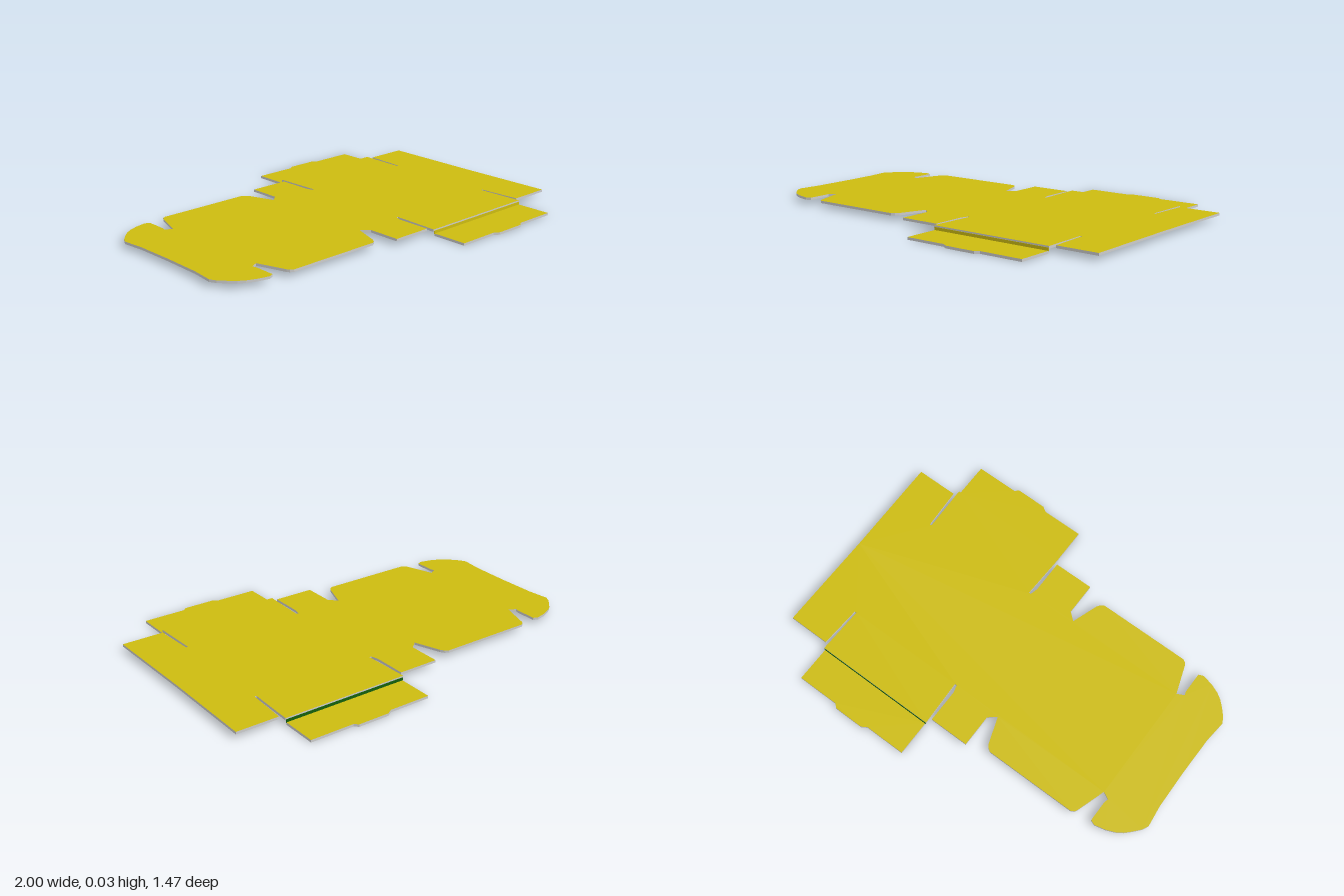
import * as THREE from 'three';

const yellow = new THREE.MeshStandardMaterial({ color: 0xccbb10 });
const green = new THREE.MeshStandardMaterial({ color: 0x145f0a });
const grey = new THREE.MeshStandardMaterial({ color: 0xcccccc });

const T = 0.012; // board thickness
const SHEET_Y = 0.021; // underside of the main sheet

// Flat board cut from an outline of [x, z]: green below, yellow above, grey cut edges
function board(name, outline, y) {
  const shape = new THREE.Shape(outline.map(([x, z]) => new THREE.Vector2(x, -z)));
  const geo = new THREE.ExtrudeGeometry(shape, { depth: T, bevelEnabled: false });
  const [caps, walls] = geo.groups.map((g) => ({ ...g }));
  geo.clearGroups();
  geo.addGroup(0, caps.count / 2, 0);
  geo.addGroup(caps.count / 2, caps.count / 2, 1);
  geo.addGroup(walls.start, walls.count, 2);
  geo.rotateX(-Math.PI / 2);
  const mesh = new THREE.Mesh(geo, [green, yellow, grey]);
  mesh.name = name;
  mesh.position.y = y;
  return mesh;
}

export function createModel() {
  const group = new THREE.Group();
  group.name = 'foldingBoxBlank';

  // Main sheet: half outline from the rounded tuck end to the straight end
  const half = [
    [-0.985, 0], [-0.988, 0.2], [-1, 0.31],
    // rounded tuck ear
    [-0.985, 0.34], [-0.955, 0.375], [-0.925, 0.405], [-0.895, 0.425], [-0.85, 0.444],
    [-0.795, 0.457], [-0.77, 0.447], [-0.77, 0.34], [-0.776, 0.32], [-0.74, 0.302],
    // lid side flap
    [-0.692, 0.445], [-0.684, 0.46], [-0.668, 0.469], [-0.195, 0.469],
    [-0.178, 0.458], [-0.166, 0.44], [-0.12, 0.308],
    // back corner flap
    [-0.08, 0.342], [-0.08, 0.508], [0.125, 0.508], [0.125, 0.34], [0.135, 0.3], [0.146, 0.3],
    // side wall
    [0.137, 0.538], [0.773, 0.538], [0.766, 0.3], [0.776, 0.3],
    // front corner flap
    [0.787, 0.51], [1, 0.51], [0.996, 0],
  ];
  const mirrored = half.slice(1, -1).reverse().map(([x, z]) => [x, -z]);
  group.add(board('mainSheet', [...half, ...mirrored], SHEET_Y));

  for (const s of [1, -1]) {
    const side = s > 0 ? 'front' : 'back';

    // Folded-under side flap with its locking tab
    const flap = [
      [0.143, 0.538], [0.77, 0.538], [0.77, 0.72], [0.553, 0.72], [0.535, 0.737],
      [0.38, 0.737], [0.352, 0.72], [0.143, 0.72],
    ].map(([x, z]) => [x, z * s]);
    group.add(board(side + 'SideFlap', flap, 0));

    // Crease joining the side wall to its lower flap
    const crease = new THREE.Mesh(new THREE.BoxGeometry(0.63, 0.016, 0.004), s > 0 ? yellow : green);
    crease.name = side + 'Crease';
    crease.position.set(0.456, 0.018, 0.538 * s);
    group.add(crease);
  }
  return group;
}
